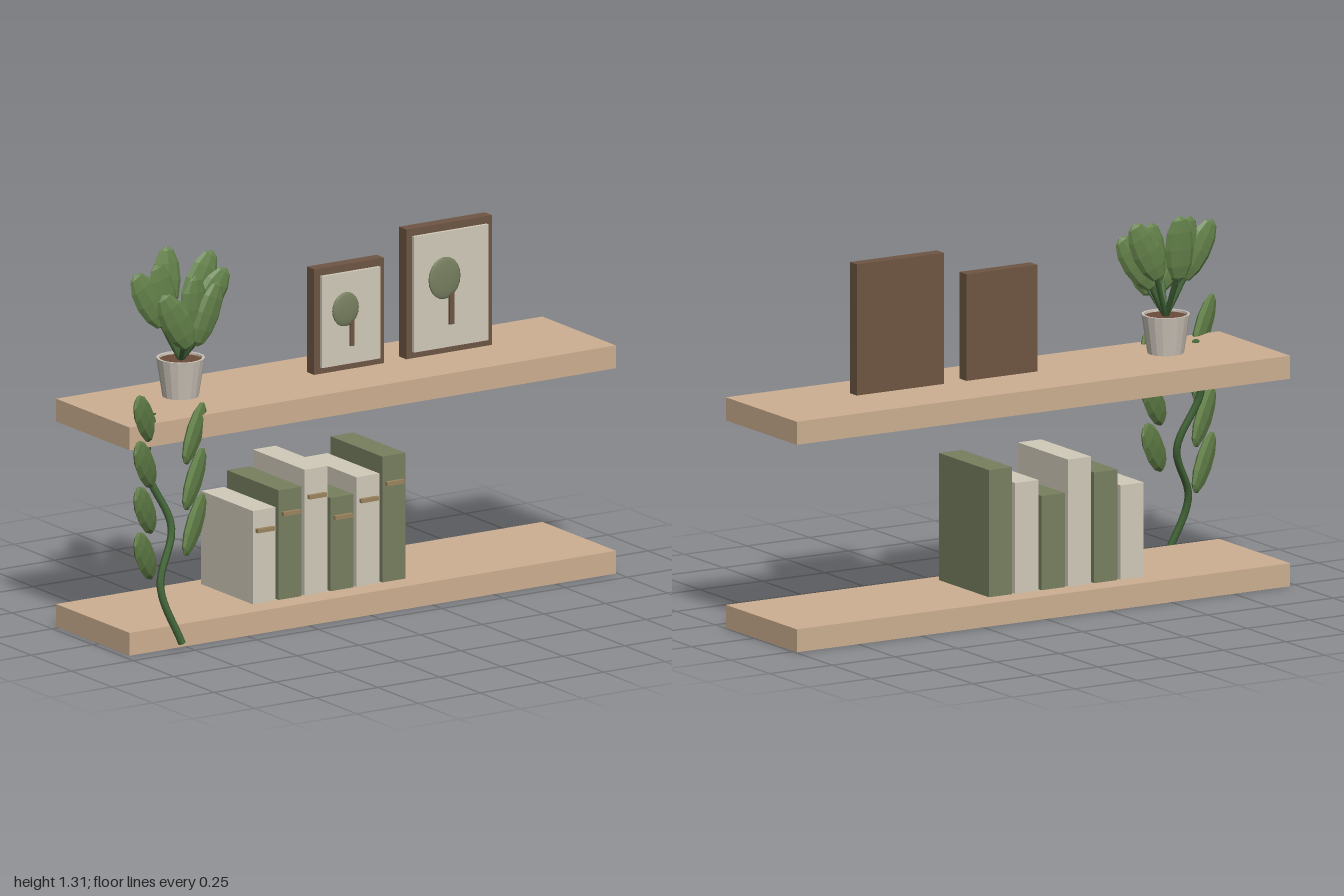
import * as THREE from 'three';

const COLORS = {
  wood: 0xcdb092, frame: 0x6f5643, paper: 0xd2cbbb, greenBook: 0x788060,
  label: 0x9c8660, leaf: 0x64824a, stem: 0x45683a, pot: 0xcdc5ba, soil: 0x6b4c3a,
};

function mat(name, flat = false) {
  return new THREE.MeshStandardMaterial({ color: COLORS[name], flatShading: flat });
}

function add(parent, name, geometry, material, x = 0, y = 0, z = 0) {
  const mesh = new THREE.Mesh(geometry, material);
  mesh.name = name;
  mesh.position.set(x, y, z);
  parent.add(mesh);
  return mesh;
}

// Box given by its centre in x and z and its bottom and top heights
function box(parent, name, color, x, z, w, d, y0, y1) {
  return add(parent, name, new THREE.BoxGeometry(w, y1 - y0, d), mat(color), x, (y0 + y1) / 2, z);
}

function group(parent, name) {
  const g = new THREE.Group();
  g.name = name;
  parent.add(g);
  return g;
}

// Flat faceted leaf: tilt leans it sideways, yaw turns its plane
const leafGeometry = new THREE.SphereGeometry(1, 8, 6);
function leaf(parent, x, y, z, tilt, yaw, lean = 0, length = 0.12, width = 0.056) {
  const m = add(parent, 'leaf', leafGeometry, mat('leaf', true), x, y, z);
  m.scale.set(width, length, 0.018);
  m.rotation.set(lean, yaw, tilt, 'YXZ');
  return m;
}

function stem(parent, name, points, radius, segments) {
  const curve = new THREE.CatmullRomCurve3(points.map(p => new THREE.Vector3(...p)));
  const m = add(parent, name, new THREE.TubeGeometry(curve, segments, radius, 6), mat('stem'));
  // Close both ends of the stalk
  for (const t of [0, 1]) {
    const cap = add(parent, name + 'End', new THREE.CircleGeometry(radius, 6), mat('stem'));
    cap.position.copy(curve.getPoint(t));
    const dir = curve.getTangent(t).multiplyScalar(t ? 1 : -1);
    cap.quaternion.setFromUnitVectors(new THREE.Vector3(0, 0, 1), dir);
  }
  return m;
}

function picture(parent, name, x, w, top, tree) {
  const g = group(parent, name);
  box(g, 'frame', 'frame', x, -0.038, w, 0.045, 0.81, top);
  box(g, 'paper', 'paper', x, -0.0085, w - 0.046, 0.013, 0.833, top - 0.026);
  // Raised tree motif
  const crown = add(g, 'treeCrown', new THREE.SphereGeometry(1, 16, 10), mat('greenBook'), tree.x, tree.y, 0);
  crown.scale.set(tree.rx, tree.ry, 0.009);
  box(g, 'treeTrunk', 'frame', tree.tx, 0, tree.tw, 0.009, tree.ty, tree.y - tree.ry * 0.55);
}

function pottedPlant(parent) {
  const g = group(parent, 'pottedPlant');
  const cx = -0.62, cz = -0.037;
  // Tapered pot with an open rim
  const profile = [[0, 0.81], [0.062, 0.81], [0.083, 0.945], [0.074, 0.945], [0.072, 0.925]];
  const potMat = mat('pot', true);
  potMat.side = THREE.DoubleSide;
  add(g, 'pot', new THREE.LatheGeometry(profile.map(p => new THREE.Vector2(...p)), 18), potMat, cx, 0, cz);
  add(g, 'soil', new THREE.CylinderGeometry(0.073, 0.07, 0.012, 18), mat('soil'), cx, 0.931, cz);
  // Leaves: centre x, y, z and yaw
  const leaves = [
    [-0.61, 1.19, -0.14, -0.12], [-0.51, 1.18, -0.092, -0.12],
    [-0.5, 1.135, -0.045, -0.1], [-0.735, 1.155, -0.055, 0],
    [-0.56, 1.105, 0.04, 0.15], [-0.70, 1.1, 0.058, -0.15],
    [-0.675, 1.165, -0.06, 0.1], [-0.615, 1.13, 0.035, 0.1],
  ];
  for (const [x, y, z, yaw] of leaves) {
    const tilt = Math.atan2(cx - x, y - 0.94) * 1.1;
    const lean = (z - cz) * 0.9;
    leaf(g, x, y, z, tilt, yaw, lean, 0.118, 0.054);
    const bx = x + Math.sin(tilt) * 0.07, by = y - Math.cos(tilt) * 0.07;
    stem(g, 'stalk', [[cx, 0.935, cz], [(cx + bx) / 2, (0.93 + by) / 2, (cz + z) / 2], [bx, by, z]], 0.009, 6);
  }
}

function trailingVine(parent) {
  const g = group(parent, 'trailingVine');
  stem(g, 'vineStem', [
    [-0.815, 0.805, 0.085], [-0.86, 0.62, 0.122], [-0.79, 0.42, 0.165],
    [-0.865, 0.23, 0.212], [-0.8, 0.03, 0.247],
  ], 0.013, 32);
  // Alternating leaves down both sides
  for (let i = 0; i < 4; i++) leaf(g, -0.925, 0.827 - i * 0.16, 0.208, 0.78, 0.6, 0, 0.122, 0.06);
  for (let i = 0; i < 3; i++) leaf(g, -0.72, 0.745 - i * 0.16, 0.2, -0.78, 0.58, 0, 0.122, 0.06);
}

export function createModel() {
  const root = new THREE.Group();
  root.name = 'wallShelves';

  box(root, 'lowerShelf', 'wood', 0.01, -0.0375, 1.97, 0.455, 0, 0.08);
  box(root, 'upperShelf', 'wood', 0.01, -0.0375, 1.97, 0.455, 0.72, 0.8);

  // Row of books with a spine label each
  const books = group(root, 'books');
  for (let i = 0; i < 6; i++) {
    const x = -0.384 + i * 0.105;
    const top = [0.412, 0.469, 0.526][i % 3];
    box(books, 'book', i % 2 ? 'greenBook' : 'paper', x, -0.04, 0.093, 0.32, 0.085, top);
    const y = 0.342 + (i % 3) * 0.044;
    box(books, 'spineLabel', 'label', x, 0.127, 0.07, 0.014, y - 0.007, y + 0.007);
  }

  picture(root, 'smallPicture', 0.0485, 0.283, 1.18, { x: 0.024, y: 1.027, rx: 0.054, ry: 0.06, tx: 0.049, tw: 0.015, ty: 0.895 });
  picture(root, 'largePicture', 0.454, 0.347, 1.265, { x: 0.425, y: 1.078, rx: 0.065, ry: 0.074, tx: 0.453, tw: 0.019, ty: 0.912 });

  pottedPlant(root);
  trailingVine(root);
  return root;
}
